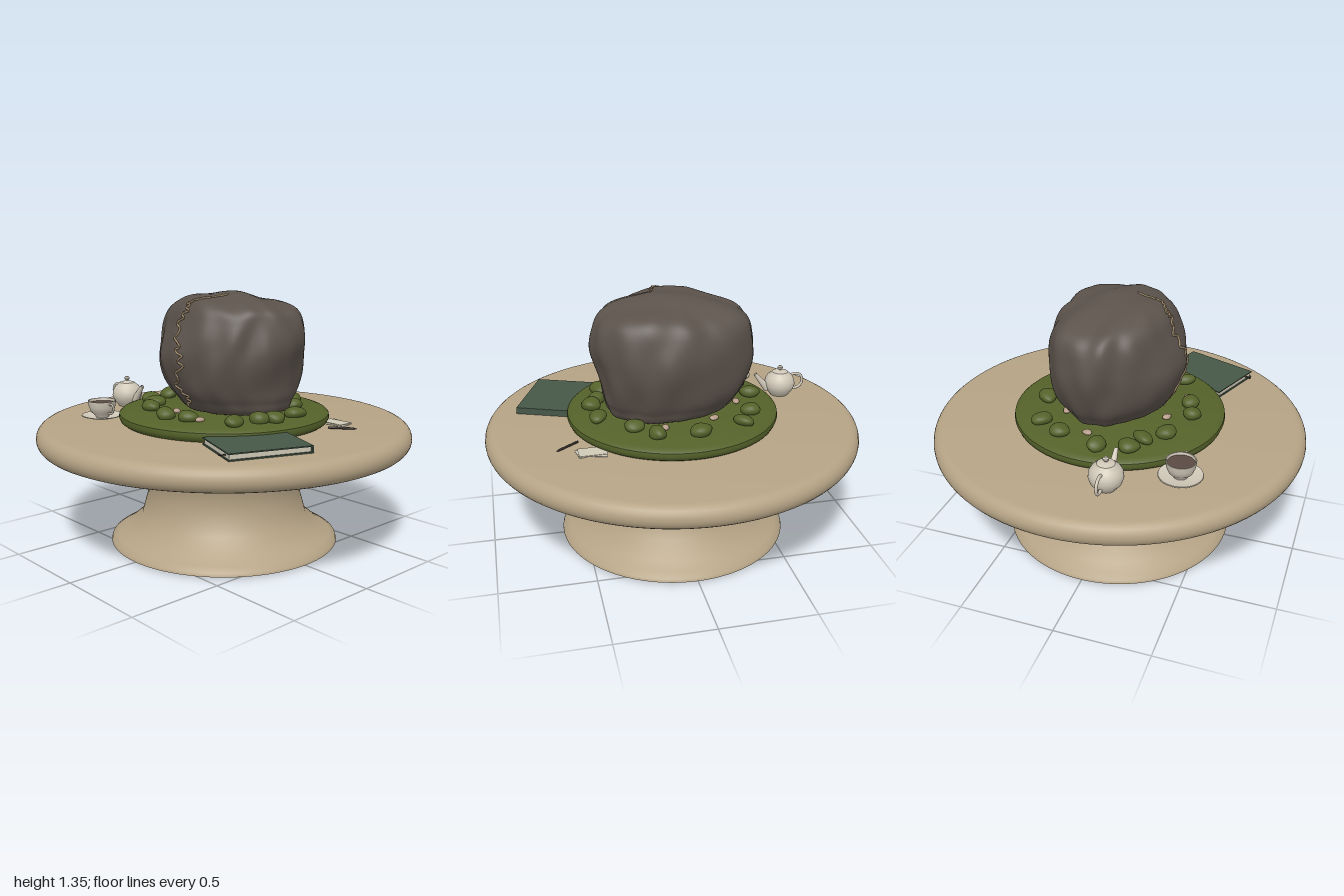
import * as THREE from 'three';
import { toCreasedNormals } from 'three/addons/utils/BufferGeometryUtils.js';

const mat = (name, color, side = THREE.FrontSide) => {
  const m = new THREE.MeshStandardMaterial({ color, side });
  m.name = name;
  return m;
};

export function createModel() {
  const M = {
    table: mat('sandstone', 0xb5a385, THREE.DoubleSide),
    moss: mat('moss', 0x55622a),
    rock: mat('darkRock', 0x5b524b),
    porcelain: mat('porcelain', 0xd0c8b8, THREE.DoubleSide),
    tea: mat('tea', 0x5a4a42),
    cover: mat('bookGreen', 0x465747),
    paper: mat('paper', 0xcfc9b6, THREE.DoubleSide),
    ink: mat('ink', 0x302b27),
    pebble: mat('pebble', 0xb59c88),
    vein: mat('vein', 0x9c8768),
  };
  const root = new THREE.Group();
  const add = (name, geo, material, x = 0, y = 0, z = 0, parent = root) => {
    const m = new THREE.Mesh(geo, material);
    m.name = name;
    m.position.set(x, y, z);
    parent.add(m);
    return m;
  };
  const group = (name, x, y, z, ry = 0) => {
    const g = new THREE.Group();
    g.name = name;
    g.position.set(x, y, z);
    g.rotation.y = ry;
    root.add(g);
    return g;
  };
  const lathe = (pts, seg = 64, crease = 0.6) => toCreasedNormals(
    new THREE.LatheGeometry(pts.map(p => new THREE.Vector2(...p)), seg), crease);
  const tube = (pts, r, seg = 24, sides = 8) => new THREE.TubeGeometry(
    new THREE.CatmullRomCurve3(pts.map(p => new THREE.Vector3(...p))), seg, r, sides);

  // Table: round-edged top on a hollow waisted pedestal
  const edge = [];
  for (let i = 0; i <= 12; i++) {
    const a = -Math.PI / 2 + (i / 12) * Math.PI;
    edge.push([0.94 + 0.06 * Math.cos(a), 0.597 + 0.0625 * Math.sin(a)]);
  }
  add('tableTop', lathe([[0, 0.5345], ...edge, [0, 0.6595]], 96), M.table);
  add('pedestal', lathe([[0.6, 0], [0.62, 0.005], [0.615, 0.022], [0.58, 0.042], [0.53, 0.075], [0.45, 0.145],
    [0.415, 0.27], [0.425, 0.4], [0.47, 0.47], [0.5, 0.51], [0.55, 0.535]], 96, 0.9), M.table);

  // Moss bed
  add('mossBed', lathe([[0, 0.658], [0.54, 0.658], [0.557, 0.67], [0.565, 0.69], [0.562, 0.708],
    [0.55, 0.718], [0.53, 0.724], [0, 0.726]], 80), M.moss);

  // Moss clumps: lumpy flattened spheres
  const lump = (seed, amount) => {
    const g = new THREE.SphereGeometry(1, 20, 14);
    const p = g.attributes.position, v = new THREE.Vector3();
    for (let i = 0; i < p.count; i++) {
      v.fromBufferAttribute(p, i);
      const k = 1 + amount * (Math.sin(2.3 * v.x + seed) + Math.sin(2.9 * v.z + 2 * seed) * Math.cos(2 * v.y + seed));
      p.setXYZ(i, v.x * k, v.y * k, v.z * k);
    }
    return toCreasedNormals(g, 1.2);
  };
  [[-0.19, -0.41], [-0.03, -0.445], [0.19, -0.385], [0.325, -0.305], [0.39, -0.07], [0.38, 0.155], [0.27, 0.25],
    [0.12, 0.42], [-0.05, 0.43], [-0.12, 0.4], [-0.26, 0.36], [-0.36, 0.13], [-0.4, 0], [-0.33, -0.215],
    [-0.23, -0.31]].forEach(([x, z], i) => {
    const m = add('mossClump', lump(i * 1.7, 0.1), M.moss, x, 0.743, z);
    m.scale.set(0.056 + 0.005 * Math.sin(i * 2), 0.033, 0.046 + 0.005 * Math.cos(i * 3));
    m.rotation.y = i * 1.3;
  });

  // Small pebbles
  [[-0.335, 0.185], [0.04, 0.3], [0.24, -0.17], [0.06, -0.34], [-0.28, -0.06], [-0.2, 0.31], [0.3, 0.1]]
    .forEach(([x, z], i) => {
      const m = add('pebble', lump(i * 2.1, 0.08), M.pebble, x, 0.734, z);
      m.scale.set(0.026, 0.013, 0.019);
      m.rotation.y = i;
    });

  // Boulder: rings of [y, xMin, xMax, zMin, zMax] around a lumpy plan outline
  const rows = [
    [0.735, 0.03, 0.03, 0.03, 0.03], [0.73, -0.18, 0.24, -0.24, 0.31], [0.80, -0.26, 0.30, -0.33, 0.365],
    [0.88, -0.31, 0.335, -0.38, 0.385], [1.0, -0.34, 0.36, -0.41, 0.415], [1.1, -0.325, 0.36, -0.415, 0.43],
    [1.2, -0.29, 0.335, -0.4, 0.415], [1.26, -0.265, 0.295, -0.35, 0.38], [1.30, -0.23, 0.23, -0.25, 0.29],
    [1.325, -0.18, 0.14, -0.16, 0.18], [1.342, -0.12, 0.04, -0.07, 0.09], [1.346, -0.04, -0.04, 0, 0]];
  const plan = [1, 1.07, 1.07, 1, 0.96, 1, 1, 0.97, 0.92, 1, 1.04, 0.98];
  const cubic = (a, b, c, d, t) => b + 0.5 * t * (c - a + t * (2 * a - 5 * b + 4 * c - d + t * (3 * (b - c) + d - a)));
  const surface = (v, angle) => {
    const n = rows.length - 1, i = Math.min(n - 1, Math.floor(v));
    const at = k => rows[Math.max(0, Math.min(n, k))];
    const [y, x0, x1, z0, z1] = rows[0].map((_, c) => cubic(at(i - 1)[c], at(i)[c], at(i + 1)[c], at(i + 2)[c], v - i));
    const f = ((angle / (2 * Math.PI)) % 1 + 1) % 1 * 12, j = Math.floor(f);
    const pl = k => plan[(k + 12) % 12];
    let r = cubic(pl(j - 1), pl(j), pl(j + 1), pl(j + 2), f - j);
    r += 0.016 * Math.sin(8 * angle + 7 * y + 1.4 * Math.sin(3 * angle + 5 * y));
    r += 0.009 * Math.sin(15 * angle - 13 * y) + 0.012 * Math.sin(4 * angle + 19 * y);
    const x = (x0 + x1) / 2 + r * Math.cos(angle) * (x1 - x0) / 2;
    const z = (z0 + z1) / 2 + r * Math.sin(angle) * (z1 - z0) / 2;
    const lift = v > 5 ? 0.008 * Math.sin(22 * x + 9 * z) * Math.min(1, v - 5) : 0;
    return new THREE.Vector3(x, y + lift, z);
  };
  const U = 128, V = 88, pos = [], idx = [];
  for (let i = 0; i <= V; i++) {
    for (let j = 0; j < U; j++) {
      pos.push(...surface((i / V) * (rows.length - 1), (j / U) * 2 * Math.PI).toArray());
      if (i === V) continue;
      const a = i * U + j, b = i * U + (j + 1) % U;
      idx.push(a, a + U, b, b, a + U, b + U);
    }
  }
  const boulder = new THREE.BufferGeometry();
  boulder.setAttribute('position', new THREE.Float32BufferAttribute(pos, 3));
  boulder.setIndex(idx);
  boulder.computeVertexNormals();
  add('boulder', boulder, M.rock);

  // Pale vein running up the side and over the crown of the boulder
  const path = new THREE.CatmullRomCurve3([[1.6, 3.22], [2.3, 3.1], [3, 3.2], [4, 3.02], [4.8, 3.1], [6, 3.2], [7, 3.14],
    [7.8, 3.18], [8.4, 3], [9, 2.75], [9.6, 2.4], [9.9, 1.8]].map(([v, a]) => new THREE.Vector3(v, a, 0)));
  const vein = path.getPoints(60).map((p, i) => {
    const s = surface(p.x, p.y + 0.05 * Math.sin(i * 1.9));
    return s.add(new THREE.Vector3(s.x + 0.02, s.y - 1.05, s.z).setLength(0.002)).toArray();
  });
  add('vein', tube(vein, 0.006, 160, 6), M.vein);

  // Teapot with spout towards the front and a ring handle behind
  const pot = group('teapot', -0.16, 0.66, -0.665);
  add('potBody', lathe([[0, 0], [0.05, 0], [0.056, 0.008], [0.076, 0.032], [0.086, 0.062], [0.083, 0.09], [0.068, 0.115],
    [0.048, 0.13], [0.044, 0.136], [0.02, 0.143], [0.008, 0.146], [0.008, 0.15], [0.015, 0.155], [0.015, 0.163],
    [0.008, 0.17], [0, 0.171]], 40), M.porcelain, 0, 0, 0, pot);
  const spout = add('spout', new THREE.CylinderGeometry(0.01, 0.022, 0.12, 16, 1, true), M.porcelain, 0, 0.085, 0.11, pot);
  spout.rotation.x = 0.68;
  const handle = add('potHandle', new THREE.TorusGeometry(0.044, 0.008, 10, 32), M.porcelain, 0, 0.072, -0.092, pot);
  handle.rotation.y = Math.PI / 2;

  // Cup of tea on a saucer
  const cup = group('teaCup', -0.47, 0.66, -0.47);
  add('saucer', lathe([[0, 0], [0.06, 0], [0.112, 0.015], [0.11, 0.019], [0.06, 0.006], [0, 0.006]], 40), M.porcelain, 0, 0, 0, cup);
  add('cupBowl', lathe([[0.035, 0.006], [0.038, 0.015], [0.06, 0.035], [0.072, 0.065], [0.076, 0.097],
    [0.071, 0.097], [0.066, 0.065], [0.05, 0.035], [0, 0.022]], 40), M.porcelain, 0, 0, 0, cup);
  add('teaSurface', new THREE.CylinderGeometry(0.069, 0.067, 0.006, 36), M.tea, 0, 0.08, 0, cup);
  add('cupHandle', tube([[0, 0.082, 0.07], [0, 0.084, 0.098], [0, 0.06, 0.106], [0, 0.036, 0.09], [0, 0.034, 0.06]], 0.006),
    M.porcelain, 0, 0, 0, cup);

  // Book lying flat
  const book = group('book', -0.33, 0.66, 0.59, -0.367);
  for (const y of [0.004, 0.034]) add('bookCover', new THREE.BoxGeometry(0.418, 0.006, 0.336), M.cover, 0, y, 0, book);
  add('bookPages', new THREE.BoxGeometry(0.4, 0.025, 0.318), M.paper, -0.002, 0.019, 0, book);
  add('bookSpine', new THREE.BoxGeometry(0.008, 0.034, 0.336), M.cover, 0.206, 0.019, 0, book);
  add('bookmark', new THREE.BoxGeometry(0.06, 0.003, 0.012), M.ink, -0.206, 0.02, 0.115, book);

  // Pen
  const pen = group('pen', 0.27, 0.667, 0.59, -Math.atan2(0.12, 0.09));
  const barrel = add('penBarrel', new THREE.CylinderGeometry(0.006, 0.006, 0.125, 10), M.ink, 0, 0, 0, pen);
  const tip = add('penTip', new THREE.ConeGeometry(0.006, 0.022, 10), M.ink, 0.0735, 0, 0, pen);
  barrel.rotation.z = tip.rotation.z = -Math.PI / 2;

  // Loose notes tucked beside the moss
  [[0.352, 0.49, 0.2], [0.37, 0.478, -0.18], [0.36, 0.482, 0.02]].forEach(([x, z, ry], i) => {
    add('note', new THREE.BoxGeometry(0.088, 0.002, 0.14), M.paper, x, 0.662 + i * 0.003, z).rotation.y = ry;
  });

  return root;
}
